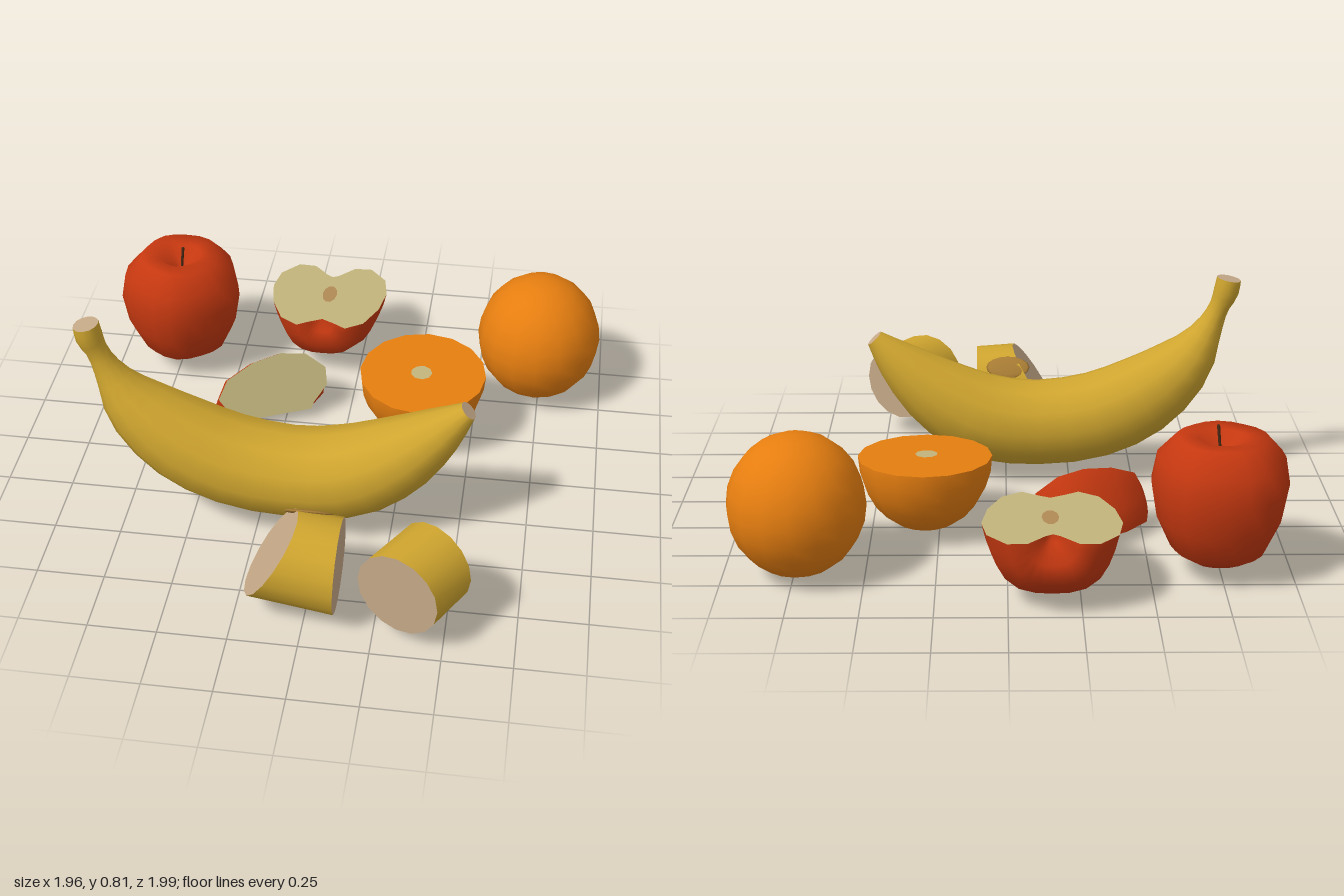
import * as THREE from 'three';
import { mergeVertices } from 'three/addons/utils/BufferGeometryUtils.js';

const mat = (name, color, side = THREE.FrontSide) => {
  const m = new THREE.MeshStandardMaterial({ color, side });
  m.name = name;
  return m;
};
const V = (x, y, z) => new THREE.Vector3(x, y, z);

export function createModel() {
  const peel = mat('bananaPeel', 0xcfa52f);
  const bananaFlesh = mat('bananaFlesh', 0xc6a988);
  const bruise = mat('bruise', 0xa87c34);
  const red = mat('appleSkin', 0xc53810);
  const cream = mat('appleFlesh', 0xc2b47c, THREE.DoubleSide);
  const core = mat('appleCore', 0xb08a55);
  const orange = mat('orangePeel', 0xe67e10);
  const stemBrown = mat('stemBrown', 0x4a2a14);

  const model = new THREE.Group();
  model.name = 'fruitArrangement';
  const add = (parent, name, geo, material, pos = [0, 0, 0]) => {
    const mesh = new THREE.Mesh(geo, material);
    mesh.name = name;
    mesh.position.set(...pos);
    parent.add(mesh);
    return mesh;
  };
  const group = (name, pos = [0, 0, 0]) => {
    const g = new THREE.Group();
    g.name = name;
    g.position.set(...pos);
    model.add(g);
    return g;
  };

  // Skin through elliptical sections {c, u, v}, plus flat cut faces at both ends
  function loft(name, sections, n) {
    const g = group(name);
    const rings = sections.map(({ c, u, v }) => Array.from({ length: n }, (_, j) => {
      const a = (j / n) * Math.PI * 2;
      return c.clone().addScaledVector(u, Math.cos(a)).addScaledVector(v, Math.sin(a));
    }));
    const index = [];
    for (let i = 0; i < rings.length - 1; i++) {
      for (let j = 0; j < n; j++) {
        const k = (j + 1) % n;
        const a = i * n + j, b = i * n + k, c = b + n, d = a + n;
        index.push(a, b, c, a, c, d);
      }
    }
    const skin = new THREE.BufferGeometry().setFromPoints(rings.flat());
    skin.setIndex(index);
    skin.computeVertexNormals();
    add(g, name + 'Skin', skin, peel);
    [0, rings.length - 1].forEach((r, end) => {
      const pts = [];
      for (let j = 0; j < n; j++) {
        const p = rings[r][j], q = rings[r][(j + 1) % n];
        pts.push(sections[r].c, ...(end ? [p, q] : [q, p]));
      }
      const cap = new THREE.BufferGeometry().setFromPoints(pts);
      cap.computeVertexNormals();
      add(g, name + (end ? 'EndFace' : 'StartFace'), cap, bananaFlesh);
    });
    return g;
  }

  // Whole banana: path points hold x, y and radius
  const path = new THREE.CatmullRomCurve3([
    V(-0.865, 0.805, 0.05), V(-0.855, 0.75, 0.052), V(-0.83, 0.69, 0.042), V(-0.79, 0.6, 0.06),
    V(-0.71, 0.47, 0.12), V(-0.55, 0.335, 0.167), V(-0.35, 0.245, 0.18), V(-0.1, 0.215, 0.178),
    V(0.1, 0.245, 0.18), V(0.28, 0.345, 0.15), V(0.42, 0.465, 0.095), V(0.515, 0.565, 0.038),
  ]);
  const bananaSections = [];
  for (let i = 0; i <= 24; i++) {
    const p = path.getPoint(i / 24), t = path.getTangent(i / 24);
    t.z = 0;
    t.normalize();
    bananaSections.push({
      c: V(p.x, p.y, 0.31),
      u: V(-t.y, t.x, 0).multiplyScalar(p.z * 0.95),
      v: V(0, 0, p.z),
    });
  }
  loft('banana', bananaSections, 12);

  // Two cut banana chunks
  const chunk = loft('bananaChunkSlanted', [
    { c: V(-0.125, 0.235, 0.785), u: V(0.095, 0.145, 0), v: V(0, 0, 0.175) },
    { c: V(0.115, 0.2, 0.785), u: V(0.005, 0.17, 0), v: V(0, 0, 0.175) },
  ], 16);
  const spot = add(chunk, 'bruiseSpot', new THREE.SphereGeometry(1, 14, 8), bruise, [-0.01, 0.325, 0.662]);
  spot.scale.set(0.09, 0.05, 0.01);
  spot.rotation.x = -Math.PI * 0.75;
  loft('bananaChunkStraight', [
    { c: V(0.335, 0.22, 0.925), u: V(0, 0.163, 0), v: V(0.145, 0, 0.065) },
    { c: V(0.45, 0.232, 0.745), u: V(0, 0.155, 0), v: V(0.13, 0, 0.085) },
  ], 16);

  // Apple profile, lobed around its axis; cut faces close partial turns
  const profile = [[0, -0.17], [0.05, -0.195], [0.1, -0.225], [0.17, -0.18], [0.22, -0.07], [0.24, 0.05],
    [0.222, 0.15], [0.155, 0.225], [0.085, 0.222], [0.025, 0.16], [0, 0.145]];
  const lobe = (phi) => 1 + 0.03 * Math.cos(5 * phi);
  function apple(name, pos, phi0, sweep, segments) {
    const g = group(name, pos);
    let skin = new THREE.LatheGeometry(profile.map((p) => new THREE.Vector2(...p)), segments, phi0, sweep);
    const p = skin.attributes.position;
    for (let i = 0; i < p.count; i++) {
      const k = lobe(Math.atan2(p.getX(i), p.getZ(i)));
      p.setXYZ(i, p.getX(i) * k, p.getY(i), p.getZ(i) * k);
    }
    skin.deleteAttribute('uv');
    skin.deleteAttribute('normal');
    skin = mergeVertices(skin, 1e-4);
    skin.computeVertexNormals();
    add(g, name + 'Skin', skin, red);
    if (sweep < 6) {
      [[phi0, 1], [phi0 + sweep, -1]].forEach(([phi, s]) => {
        const shape = new THREE.Shape(profile.map(([r, y]) => new THREE.Vector2(s * r * lobe(phi), y)));
        add(g, name + 'CutFace', new THREE.ShapeGeometry(shape).rotateY(phi - (s * Math.PI) / 2), cream);
      });
    }
    return g;
  }

  const whole = apple('wholeApple', [-0.74, 0.285, -0.64], 0, Math.PI * 2, 20);
  const stem = add(whole, 'appleStem', new THREE.CylinderGeometry(0.006, 0.005, 0.12, 6), stemBrown, [0.01, 0.205, 0.01]);
  stem.rotation.z = -0.1;

  // Half apple, cut side up
  const half = apple('halfApple', [-0.15, 0.27, -0.775], Math.PI / 2, Math.PI, 12);
  half.rotation.x = -Math.PI / 2;
  const pit = add(half, 'appleCoreSpot', new THREE.CircleGeometry(1, 10), core, [0.005, 0.01, 0.004]);
  pit.scale.set(0.03, 0.06, 1);

  // Apple wedge resting on one cut face
  const wedge = apple('appleWedge', [-0.28, 0.05, -0.225], 0, 1.13, 6);
  wedge.quaternion.setFromRotationMatrix(new THREE.Matrix4().makeBasis(
    V(0, 1, 0), V(0.908, 0, -0.419), V(-0.419, 0, -0.908)));

  // Whole orange
  add(model, 'wholeOrange', new THREE.SphereGeometry(0.25, 16, 12), orange, [0.735, 0.26, -0.63])
    .scale.set(0.98, 1.03, 1.02);

  // Half orange, cut side up
  const halfOrange = group('halfOrange', [0.3, 0.295, -0.26]);
  halfOrange.rotation.x = 0.05;
  add(halfOrange, 'halfOrangePeel',
    new THREE.SphereGeometry(0.247, 16, 7, 0, Math.PI * 2, Math.PI / 2, Math.PI / 2), orange).scale.y = 1.14;
  const disc = (r, n) => new THREE.CircleGeometry(r, n).rotateX(-Math.PI / 2);
  add(halfOrange, 'halfOrangeCutFace', disc(0.247, 16), orange);
  add(halfOrange, 'halfOrangePith', disc(0.042, 9), cream, [-0.005, 0.004, 0.005]);

  return model;
}
